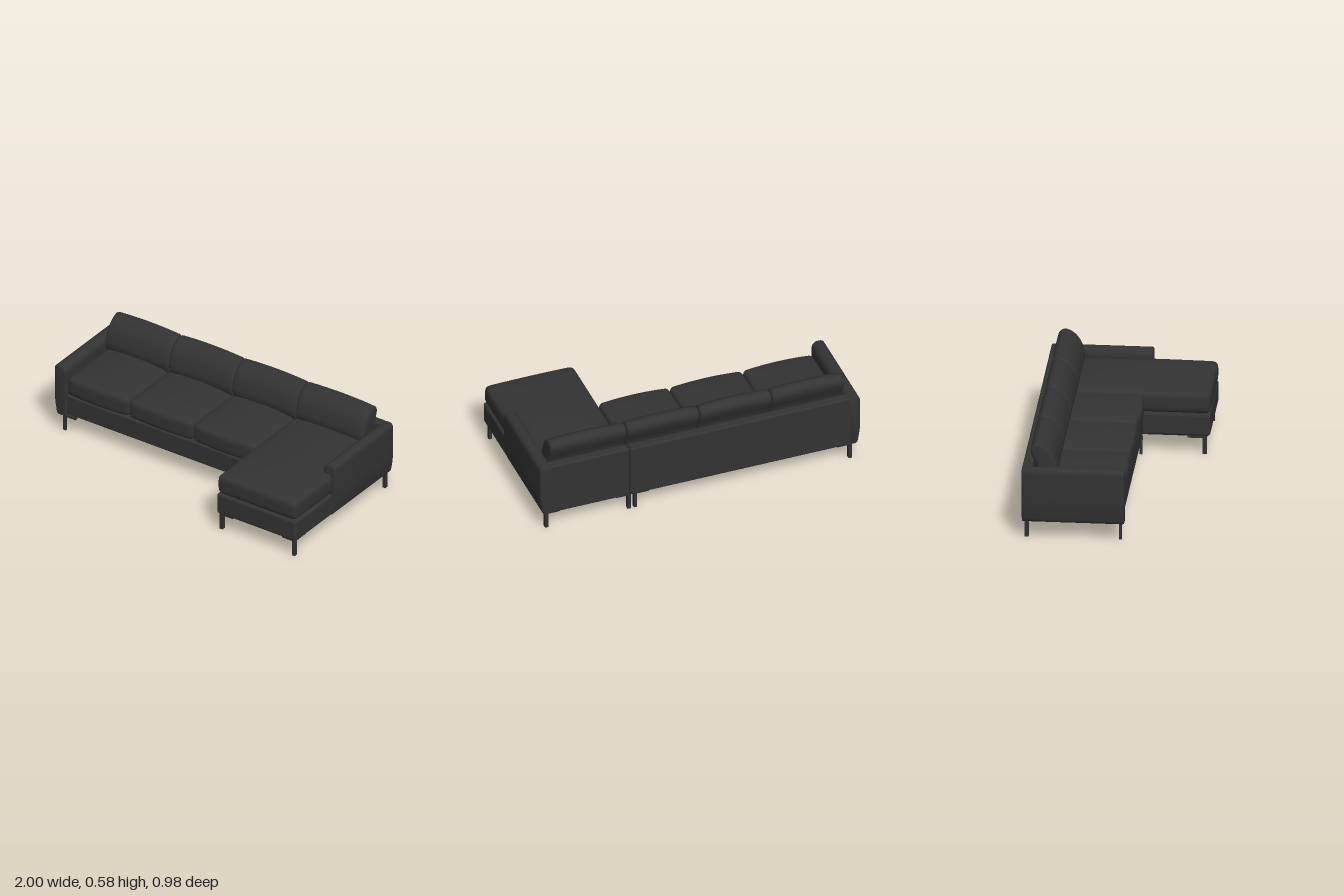
import * as THREE from 'three';
import { mergeVertices, toCreasedNormals } from 'three/addons/utils/BufferGeometryUtils.js';
import { RoundedBoxGeometry } from 'three/addons/geometries/RoundedBoxGeometry.js';

const fabric = new THREE.MeshStandardMaterial({ color: 0x333333 });
fabric.name = 'charcoal fabric';
const metal = new THREE.MeshStandardMaterial({ color: 0x303030 });
metal.name = 'dark metal';

function add(group, name, geometry, material = fabric) {
  const mesh = new THREE.Mesh(geometry, material);
  mesh.name = name;
  group.add(mesh);
  return mesh;
}

// Box given by its limits on each axis, rounded when r > 0
function block(x0, x1, y0, y1, z0, z1, r = 0) {
  const s = [x1 - x0, y1 - y0, z1 - z0];
  const g = r ? new RoundedBoxGeometry(...s, 3, r) : new THREE.BoxGeometry(...s);
  return g.translate((x0 + x1) / 2, (y0 + y1) / 2, (z0 + z1) / 2);
}

// Soft seat cushion: rounded box with a crowned top and a bulging front
function seatCushion(x0, x1, y0, y1, z0, z1, r, crown, bulge) {
  const half = [(x1 - x0) / 2, (y1 - y0) / 2, (z1 - z0) / 2];
  let g = new THREE.BoxGeometry(2, 2, 2, 20, 10, 20);
  g.deleteAttribute('uv');
  g.deleteAttribute('normal');
  g = mergeVertices(g);
  const pos = g.attributes.position;
  const p = new THREE.Vector3(), inner = new THREE.Vector3();
  for (let i = 0; i < pos.count; i++) {
    // crowd the grid towards the edges, then round them
    p.fromBufferAttribute(pos, i);
    p.set(...p.toArray().map((c, k) => Math.sin(c * Math.PI / 2) * half[k]));
    inner.set(...p.toArray().map((c, k) => THREE.MathUtils.clamp(c, r - half[k], half[k] - r)));
    p.sub(inner).setLength(r).add(inner);
    const u = p.x / half[0], v = p.y / half[1], w = p.z / half[2];
    const dome = (1 - u * u) * (1 - Math.pow(Math.abs(w), 3));
    p.y += v > 0 ? crown * v * dome : 0;
    p.z += w > 0 ? bulge * w * (1 - u * u) : 0;
    pos.setXYZ(i, p.x, p.y, p.z);
  }
  g.computeVertexNormals();
  return g.translate((x0 + x1) / 2, (y0 + y1) / 2, (z0 + z1) / 2);
}

// Extrusion with rounded ends that keeps the outline at full size
function softExtrude(shape, length, bevel, steps = 1) {
  const g = new THREE.ExtrudeGeometry(shape, {
    depth: length - 2 * bevel, steps, curveSegments: 28,
    bevelThickness: bevel, bevelSize: bevel, bevelOffset: -bevel, bevelSegments: 4,
  });
  return g.translate(0, 0, bevel - length / 2);
}

// Leaning back cushion: side outline extruded across the width
function backCushion(x0, x1) {
  const outline = [
    [-0.30, 0.355], [-0.288, 0.40], [-0.292, 0.44], [-0.312, 0.50], [-0.35, 0.55], [-0.40, 0.576],
    [-0.432, 0.562], [-0.444, 0.535], [-0.435, 0.495], [-0.41, 0.44], [-0.385, 0.37],
  ].map(([z, y]) => new THREE.Vector2(-z, y));
  const curve = new THREE.SplineCurve([...outline, outline[0]]);
  const shape = new THREE.Shape(curve.getPoints(44).slice(0, -1));
  const g = softExtrude(shape, x1 - x0, 0.014, 12).rotateY(Math.PI / 2);
  // the top edge drops a little towards the ends
  const pos = g.attributes.position;
  for (let i = 0; i < pos.count; i++) {
    const u = pos.getX(i) / ((x1 - x0) / 2);
    const t = Math.max(0, (pos.getY(i) - 0.40) / 0.176);
    pos.setY(i, pos.getY(i) - 0.010 * t * u * u);
  }
  return toCreasedNormals(g, 0.7).translate((x0 + x1) / 2, 0, 0);
}

// Arm cross-section, swept from back to front
function arm(side) {
  const s = new THREE.Shape();
  s.moveTo(0.918, 0.105);
  s.lineTo(0.972, 0.105);
  s.quadraticCurveTo(0.984, 0.108, 0.988, 0.14);
  s.quadraticCurveTo(1.0, 0.20, 1.0, 0.26);
  s.lineTo(1.0, 0.405);
  s.quadraticCurveTo(1.0, 0.443, 0.965, 0.443);
  s.quadraticCurveTo(0.918, 0.443, 0.918, 0.39);
  s.closePath();
  const g = softExtrude(s, 0.60, 0.010).translate(0, 0, -0.19);
  if (side < 0) g.rotateY(Math.PI).translate(0, 0, -0.38);
  return toCreasedNormals(g, 0.6);
}

export function createModel() {
  const model = new THREE.Group();
  model.name = 'cornerSofa';

  // Upholstered bases
  add(model, 'sofaBase', block(-0.93, 0.417, 0.115, 0.246, -0.47, 0.095, 0.012));
  add(model, 'chaiseRearBase', block(0.421, 0.93, 0.112, 0.246, -0.47, 0.14, 0.012));
  add(model, 'chaiseFrontBase', block(0.421, 0.985, 0.112, 0.248, 0.07, 0.487, 0.016));

  // Underside panels
  add(model, 'sofaUnderside', block(-0.91, 0.40, 0.107, 0.12, -0.47, 0.06));
  add(model, 'chaiseUnderside', block(0.44, 0.965, 0.107, 0.12, -0.47, 0.46));

  // Back panels, one for each module
  add(model, 'sofaBackPanel', block(-0.945, 0.437, 0.107, 0.44, -0.49, -0.43, 0.01));
  add(model, 'chaiseBackPanel', block(0.441, 0.945, 0.107, 0.442, -0.49, -0.43, 0.01));

  // Arms
  add(model, 'leftArm', arm(1));
  add(model, 'rightArm', arm(-1));

  // Seat cushions
  const seams = [-0.922, -0.48, -0.023, 0.42];
  for (let i = 0; i < 3; i++) {
    add(model, 'seatCushion' + (i + 1),
      seatCushion(seams[i] + 0.001, seams[i + 1] - 0.001, 0.247, 0.367, -0.43, 0.096, 0.028, 0.022, 0.014));
  }
  add(model, 'chaiseCushion', seatCushion(0.422, 0.982, 0.249, 0.372, -0.43, 0.487, 0.032, 0.025, 0.003));

  // Back cushions
  const splits = [-0.92, -0.468, -0.016, 0.438, 0.92];
  for (let i = 0; i < 4; i++) {
    add(model, 'backCushion' + (i + 1), backCushion(splits[i] + 0.002, splits[i + 1] - 0.002));
  }

  // Legs with corner mounting plates: x, z, plate direction in x and z, leg depth
  const legs = [
    [-0.94, 0.085, 1, -1, 0.015], [0.40, 0.085, -1, -1, 0.015],
    [-0.94, -0.465, 1, 1, 0.024], [0.40, -0.465, -1, 1, 0.024],
    [0.44, -0.465, 1, 1, 0.024], [0.955, -0.465, -1, 1, 0.024],
    [0.44, 0.455, 1, -1, 0.024], [0.955, 0.455, -1, -1, 0.024],
  ];
  for (const [x, z, dx, dz, depth] of legs) {
    const leg = new THREE.Group();
    leg.name = 'leg';
    add(leg, 'legPost', block(-0.01, 0.01, 0, 0.115, -depth / 2, depth / 2), metal);
    add(leg, 'legPlateAcross', block(-0.04, 0.04, 0.097, 0.109, -0.012, 0.012).translate(dx * 0.042, 0, 0), metal);
    add(leg, 'legPlateAlong', block(-0.01, 0.01, 0.098, 0.110, -0.045, 0.045).translate(0, 0, dz * 0.055), metal);
    leg.position.set(x, 0, z);
    model.add(leg);
  }
  return model;
}
